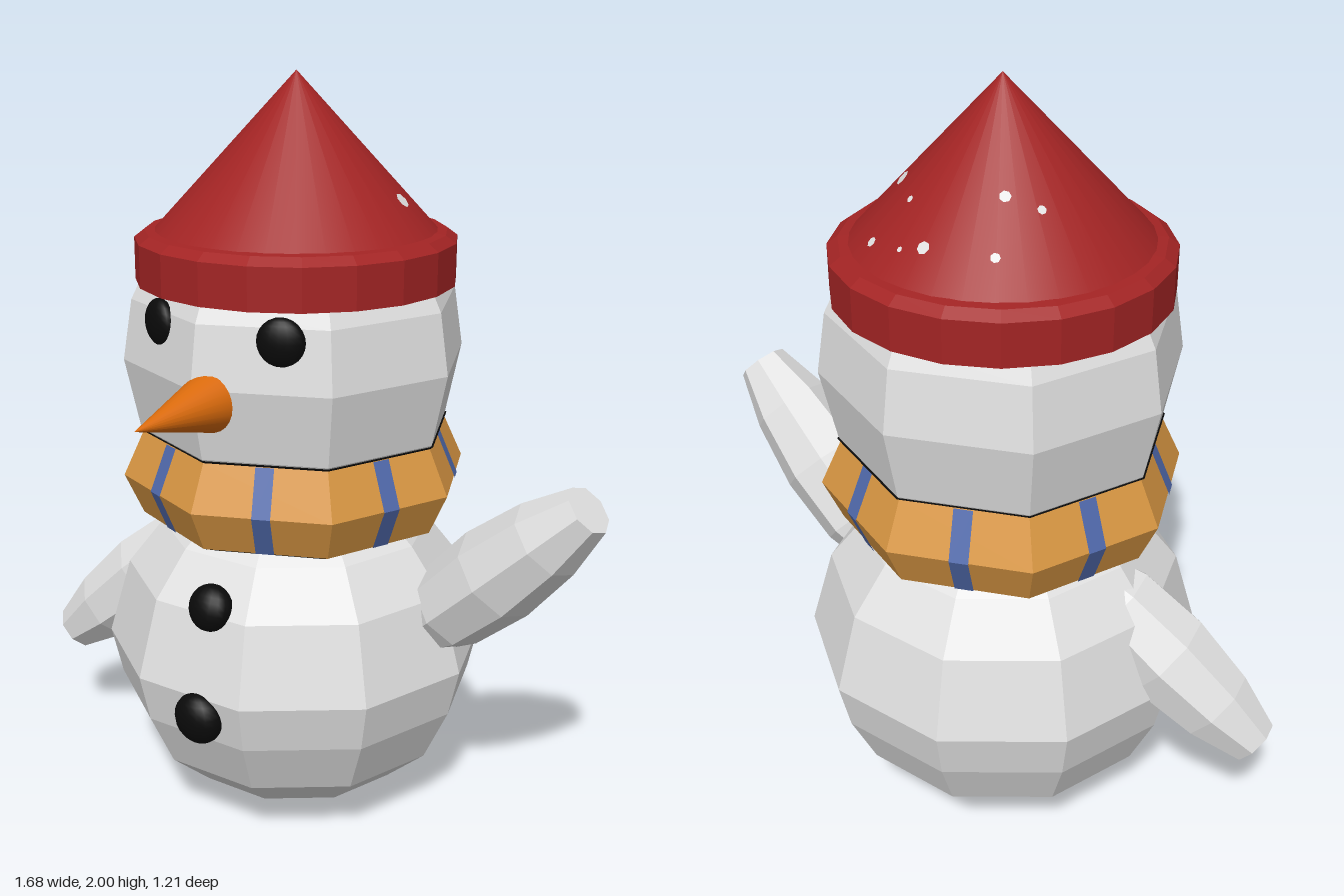
import * as THREE from 'three';

const mat = (name, color) => {
  const m = new THREE.MeshStandardMaterial({ color });
  m.name = name;
  return m;
};

export function createModel() {
  const snow = mat('snow', 0xe0e0e0);
  const red = mat('hat red', 0xa32424);
  const orange = mat('scarf orange', 0xd99743);
  const blue = mat('stripe blue', 0x5069ab);
  const carrot = mat('carrot', 0xdb6b0c);
  const black = mat('coal black', 0x0a0a0a);

  const model = new THREE.Group();
  model.name = 'snowman';
  // Everything round shares this upright axis
  const axis = new THREE.Group();
  axis.name = 'bodyAxis';
  axis.position.set(-0.065, 0, -0.11);
  model.add(axis);

  const add = (parent, name, geometry, material) => {
    const mesh = new THREE.Mesh(geometry, material);
    mesh.name = name;
    parent.add(mesh);
    return mesh;
  };
  const faceted = (g) => {
    const flat = g.toNonIndexed();
    flat.computeVertexNormals();
    return flat;
  };
  // Profile points are [radius, y], listed upwards
  const lathe = (points, sides) =>
    new THREE.LatheGeometry(points.map(([r, y]) => new THREE.Vector2(r, y)), sides);

  // Body: ten sides, flat face to the front
  const body = add(axis, 'body', faceted(lathe([
    [0, 0], [0.165, 0], [0.31, 0.08], [0.425, 0.18], [0.495, 0.33],
    [0.525, 0.46], [0.465, 0.67], [0.37, 0.79], [0.3, 0.85], [0, 0.87],
  ], 10)), snow);
  body.rotation.y = Math.PI / 10;

  // Head: eight sides, edge to the front
  add(axis, 'head', faceted(lathe([
    [0, 1.04], [0.4, 1.05], [0.42, 1.08], [0.46, 1.27], [0.435, 1.43], [0.41, 1.48], [0, 1.5],
  ], 8)), snow);

  // Scarf with its dark lining and stripes
  const scarfProfile = [[0.42, 0.84], [0.47, 0.95], [0.415, 1.07]];
  add(axis, 'scarf', faceted(lathe(scarfProfile, 8)), orange);
  add(axis, 'scarfLiningBottom', faceted(lathe([[0.2, 0.815], [0.36, 0.815], [0.42, 0.84]], 8)), black);
  add(axis, 'scarfLiningTop', faceted(lathe([[0.415, 1.07], [0.424, 1.076], [0.3, 1.08]], 8)), black);

  const apothem = Math.cos(Math.PI / 8);
  for (let i = 0; i < 8; i++) {
    const strip = new THREE.PlaneGeometry(0.048, 1, 1, 2);
    const p = strip.attributes.position;
    for (let v = 0; v < p.count; v++) {
      const [r, y] = scarfProfile[2 - Math.floor(v / 2)];
      p.setY(v, y);
      p.setZ(v, r * apothem + 0.004);
    }
    add(axis, 'scarfStripe', faceted(strip), blue).rotation.y = (i + 0.5) * Math.PI / 4;
  }

  // Hat: faceted brim and smooth cone
  add(axis, 'hatBrim', faceted(lathe([
    [0, 1.47], [0.422, 1.47], [0.422, 1.58], [0.395, 1.6], [0.35, 1.605],
  ], 20)), red);
  add(axis, 'hatCone', lathe([[0.38, 1.59], [0, 2]], 32), red);

  // Snow specks on the hat: x, z and size
  const specks = [
    [-0.23, -0.36, 0.012], [-0.07, -0.41, 0.016], [-0.19, -0.27, 0.014],
    [-0.26, -0.23, 0.011], [0.09, -0.4, 0.013], [0.03, -0.33, 0.009],
    [0.11, -0.26, 0.02], [0.22, -0.16, 0.022], [-0.01, -0.42, 0.007],
  ];
  for (const [x, z, size] of specks) {
    const dx = x + 0.065, dz = z + 0.11, r = Math.hypot(dx, dz);
    const normal = new THREE.Vector3(dx / r, 0.927, dz / r).normalize();
    const speck = add(model, 'snowSpeck', new THREE.CircleGeometry(size, 7), snow);
    speck.position.set(x, 2 - 1.079 * r, z).addScaledVector(normal, 0.004);
    speck.lookAt(speck.position.clone().add(normal));
  }

  // Coal eyes and buttons: flattened balls
  const coal = (name, x, y, z, r, depth, turn, tilt) => {
    const c = add(model, name, new THREE.SphereGeometry(r, 16, 12), black);
    c.position.set(x, y, z);
    c.scale.z = depth / r;
    c.rotation.set(tilt, turn, 0);
  };
  coal('rightEye', -0.228, 1.4, 0.258, 0.061, 0.03, -0.39, 0);
  coal('leftEye', 0.14, 1.4, 0.258, 0.061, 0.03, 0.39, 0);
  coal('upperButton', -0.035, 0.69, 0.325, 0.062, 0.045, 0, -0.35);
  coal('lowerButton', -0.035, 0.4, 0.385, 0.07, 0.048, 0, 0.05);

  // Carrot nose
  const nose = add(model, 'nose', new THREE.ConeGeometry(0.075, 0.28, 24), carrot);
  nose.rotation.x = Math.PI / 2;
  nose.position.set(-0.035, 1.235, 0.46);

  // Arms: tapered eight-sided limbs running from root to tip
  const arm = (name, root, tip) => {
    const from = new THREE.Vector3(...root);
    const dir = new THREE.Vector3(...tip).sub(from);
    const len = dir.length();
    const profile = [[0, 0], [0.07, 0], [0.12, 0.22], [0.132, 0.5], [0.11, 0.78], [0.068, 1], [0, 1]];
    const mesh = add(model, name, faceted(lathe(profile.map(([r, t]) => [r, t * len]), 8)), snow);
    mesh.position.copy(from);
    mesh.quaternion.setFromUnitVectors(new THREE.Vector3(0, 1, 0), dir.normalize());
  };
  arm('leftArm', [0.3, 0.53, -0.145], [0.79, 0.993, -0.12]);
  arm('rightArm', [-0.3, 0.75, -0.12], [-0.793, 0.315, 0.01]);

  return model;
}
